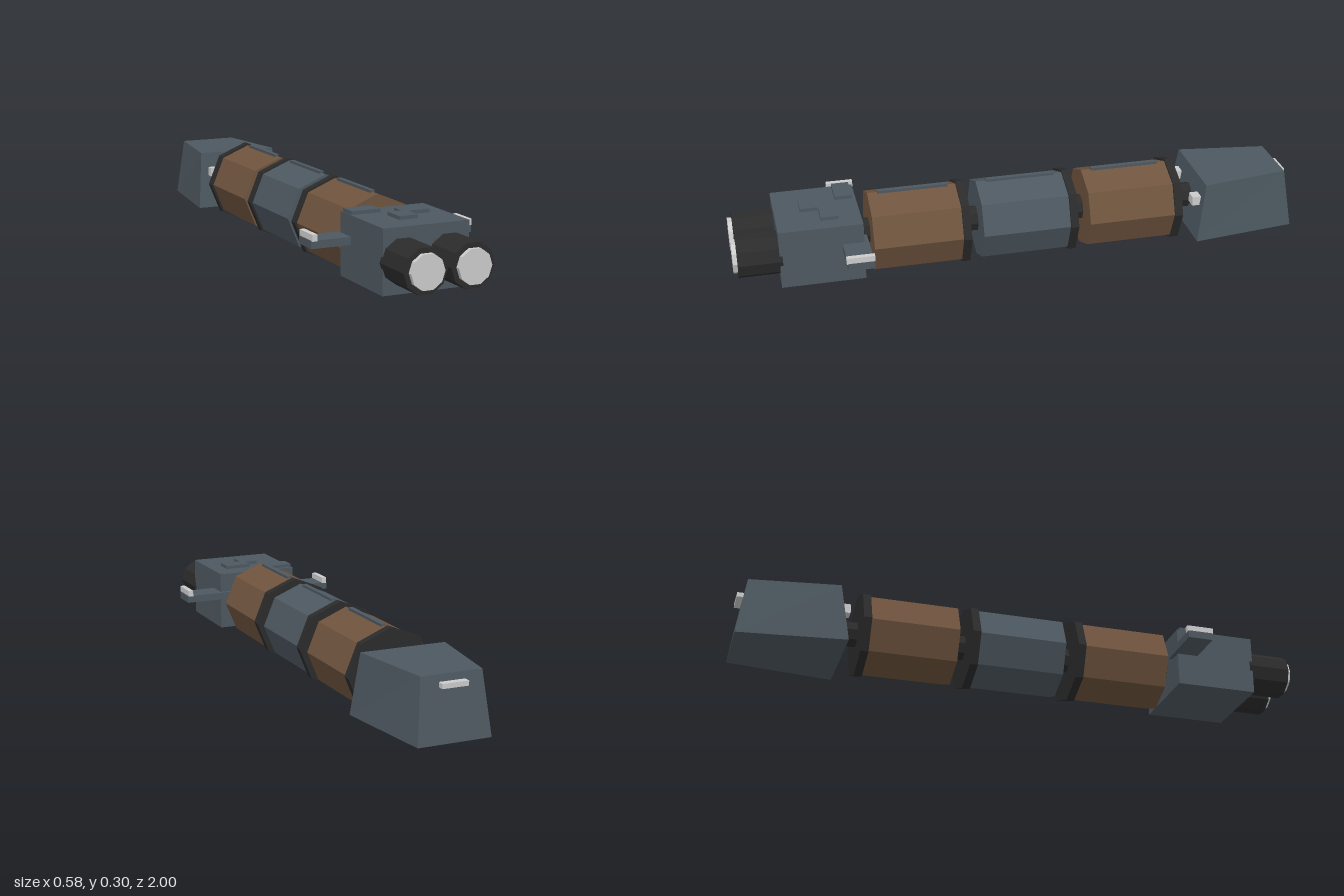
import * as THREE from 'three';

const mat = (name, color) => {
  const m = new THREE.MeshStandardMaterial({ color });
  m.name = name;
  return m;
};

export function createModel() {
  const slate = mat('slate', 0x4d5860);
  const brown = mat('brown', 0x6f543e);
  const dark = mat('charcoal', 0x2b2b2b);
  const light = mat('light grey', 0xcccccc);

  const AXIS_Y = 0.153;
  const root = new THREE.Group();
  root.name = 'modularSpacecraft';

  // Faceted shading: one normal per face
  const flat = (geo) => {
    const g = geo.index ? geo.toNonIndexed() : geo;
    g.computeVertexNormals();
    return g;
  };
  const add = (name, geo, material, parent = root) => {
    const mesh = new THREE.Mesh(flat(geo), material);
    mesh.name = name;
    parent.add(mesh);
    return mesh;
  };
  // Box given by its limits on each axis
  const box = (name, material, [x0, x1], [y0, y1], [z0, z1], parent) => {
    const g = new THREE.BoxGeometry(x1 - x0, y1 - y0, z1 - z0);
    g.translate((x0 + x1) / 2, (y0 + y1) / 2, (z0 + z1) / 2);
    return add(name, g, material, parent);
  };
  // Prism lying along z between z0 and z1
  const prism = (name, material, r, sides, z0, z1, x = 0, parent = root, turn = 0) => {
    const g = new THREE.CylinderGeometry(r, r, z1 - z0, sides, 1, false, turn);
    g.rotateX(Math.PI / 2);
    g.translate(x, AXIS_Y, (z0 + z1) / 2);
    return add(name, g, material, parent);
  };

  // Central spine joining all sections
  prism('spine', dark, 0.045, 8, -0.7, 0.6);

  // Three octagonal hull modules, each with a rear collar and top ridge
  [brown, slate, brown].forEach((material, i) => {
    const module = new THREE.Group();
    module.name = `hullModule${i + 1}`;
    root.add(module);
    const z = 0.523 - i * 0.381;
    prism('hull', material, 0.144, 8, z - 0.31, z, 0, module);
    prism('collar', dark, 0.152, 8, z - 0.337, z - 0.309, 0, module);
    box('topRidge', slate, [-0.008, 0.008], [0.285, 0.303], [z - 0.28, z - 0.035], module);
  });

  // Nose block with raised roof panels
  box('noseBlock', slate, [-0.15, 0.15], [0.05, 0.26], [0.558, 0.845]);
  [
    [[-0.147, -0.045], [0.57, 0.63]],
    [[0, 0.095], [0.635, 0.695]],
    [[-0.047, 0.018], [0.68, 0.757]],
  ].forEach(([x, z]) => box('roofPanel', slate, x, [0.255, 0.272], z));

  // Paired drums, side arms and tail lamps
  for (const s of [1, -1]) {
    const side = s > 0 ? 'left' : 'right';
    const span = (a, b) => (s > 0 ? [a, b] : [-b, -a]);
    prism(`${side}Drum`, dark, 0.075, 10, 0.835, 0.985, s * 0.081, root, Math.PI / 2);
    prism(`${side}DrumLens`, light, 0.058, 10, 0.97, 1, s * 0.081, root, Math.PI / 2);
    box(`${side}Arm`, slate, span(0.1, 0.288), [0.165, 0.191], [0.543, 0.632]);
    box(`${side}ArmTip`, light, span(0.268, 0.286), [0.189, 0.211], [0.541, 0.636]);
    box(`${side}TailLamp`, light, span(0.085, 0.125), [0.172, 0.205], [-0.66, -0.618]);
  }

  // Tail block: narrows towards the top and towards the rear
  const tail = new THREE.BoxGeometry(2, 0.21, 2);
  const p = tail.attributes.position;
  for (let i = 0; i < p.count; i++) {
    const top = p.getY(i) > 0;
    const front = p.getZ(i) > 0;
    const halfWidth = (front ? 0.171 : 0.126) - (top ? 0.021 : 0);
    const z = front ? (top ? -0.657 : -0.627) : (top ? -0.967 : -0.998);
    p.setXYZ(i, Math.sign(p.getX(i)) * halfWidth, top ? 0.26 : 0.05, z);
  }
  add('tailBlock', tail, slate);
  box('rearLamp', light, [-0.045, 0.045], [0.221, 0.237], [-0.994, -0.965]);

  return root;
}
